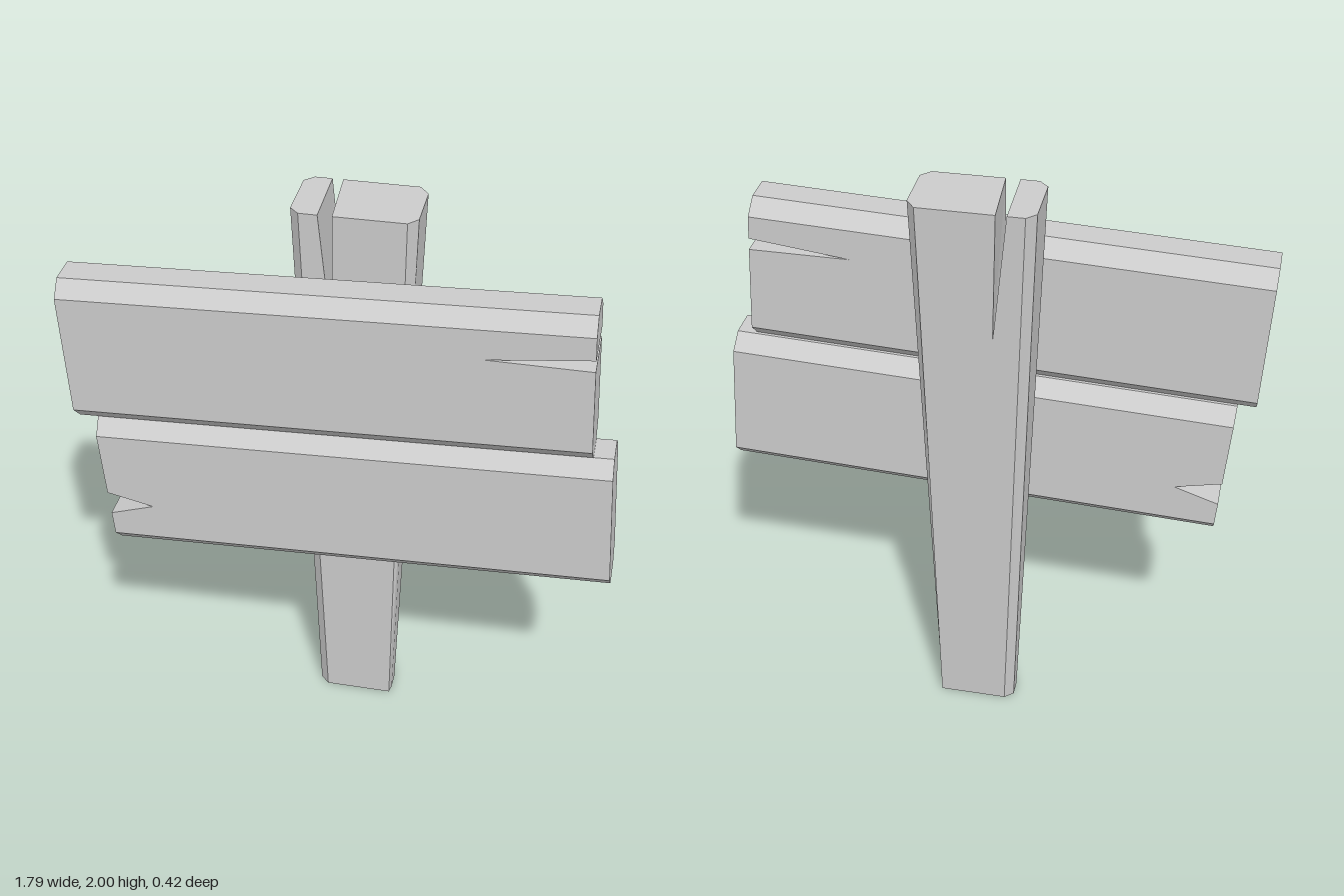
import * as THREE from 'three';

const material = new THREE.MeshStandardMaterial({ color: 0xcccccc, flatShading: true });

// Points are [x, y, zFront, zBack, xBack = x].
const front = (p) => [p[0], p[1], p[2]];
const back = (p) => [p[4] ?? p[0], p[1], p[3]];

// Solid with an anticlockwise outline. ridges[i] = [start, end] bevels edge i
// by carrying it outward to a narrower edge.
function slab(name, outline, ridges) {
  const positions = [];
  const face = (...pts) => {
    for (let i = 1; i < pts.length - 1; i++) positions.push(...pts[0], ...pts[i], ...pts[i + 1]);
  };

  // Front and back, which may carry a split
  const flat = outline.map((p) => new THREE.Vector2(p[0], p[1]));
  for (const [a, b, c] of THREE.ShapeUtils.triangulateShape(flat, [])) {
    face(front(outline[a]), front(outline[b]), front(outline[c]));
    face(back(outline[a]), back(outline[c]), back(outline[b]));
  }

  // Edges: plain walls, or bevel, narrow edge, bevel and two end pieces
  outline.forEach((a, i) => {
    const b = outline[(i + 1) % outline.length];
    const af = front(a), ab = back(a), bf = front(b), bb = back(b);
    if (!ridges[i]) {
      face(af, ab, bb, bf);
      return;
    }
    const [r, s] = ridges[i];
    const rf = front(r), rb = back(r), sf = front(s), sb = back(s);
    face(af, rf, sf, bf);
    face(rf, rb, sb, sf);
    face(rb, ab, bb, sb);
    face(af, ab, rb, rf);
    face(bf, sf, sb, bb);
  });

  const geometry = new THREE.BufferGeometry();
  geometry.setAttribute('position', new THREE.Float32BufferAttribute(positions, 3));
  geometry.computeVertexNormals();
  const mesh = new THREE.Mesh(geometry, material);
  mesh.name = name;
  return mesh;
}

// Plank with bevelled long edges; corners run bottom left, bottom right, top right, top left
function plank(name, [bl, br, tr, tl], zFront, zBack, rightSplit, leftSplit) {
  const bevel = 0.05;
  const wide = ([x, y]) => [x, y, zFront, zBack];
  const narrow = ([x, y]) => [x, y, zFront - 0.047, zBack + 0.052];
  // Step from one corner along the end of the plank
  const inset = (p, q) => {
    const t = bevel / Math.abs(q[1] - p[1]);
    return [p[0] + (q[0] - p[0]) * t, p[1] + (q[1] - p[1]) * t];
  };
  const outline = [
    inset(bl, tl), inset(br, tr), ...rightSplit, inset(tr, br), inset(tl, bl), ...leftSplit,
  ].map(wide);
  return slab(name, outline, {
    0: [narrow(bl), narrow(br)],
    [2 + rightSplit.length]: [narrow(tr), narrow(tl)],
  });
}

export function createModel() {
  const group = new THREE.Group();
  group.name = 'signpost';

  // Tapered post with a crack running down from the top
  group.add(slab('post', [
    [-0.095, 0, -0.03, -0.14],
    [0.135, 0, -0.03, -0.14],
    [0.175, 2, 0.028, -0.21],
    [-0.055, 2, 0.03, -0.21, -0.07],
    [-0.06, 1.56, 0.017, -0.195],
    [-0.1, 2, 0.03, -0.21, -0.104],
    [-0.16, 2, 0.03, -0.21],
  ], {
    1: [[0.14, 0, -0.06, -0.115], [0.205, 2, -0.005, -0.17]],
    6: [[-0.19, 2, 0, -0.18], [-0.125, 0, -0.06, -0.115]],
  }));

  // Upper plank, split at its left end
  group.add(plank('upperPlank',
    [[-0.875, 1.25], [0.797, 1.325], [0.77, 1.838], [-0.9, 1.765]], 0.21, 0.01,
    [[0.779, 1.67], [0.445, 1.67], [0.777, 1.71]], []));

  // Lower plank, split at its right end
  group.add(plank('lowerPlank',
    [[-0.775, 0.75], [0.895, 0.825], [0.862, 1.325], [-0.815, 1.25]], 0.205, 0.003,
    [], [[-0.793, 0.97], [-0.637, 0.935], [-0.786, 0.885]]));

  return group;
}
